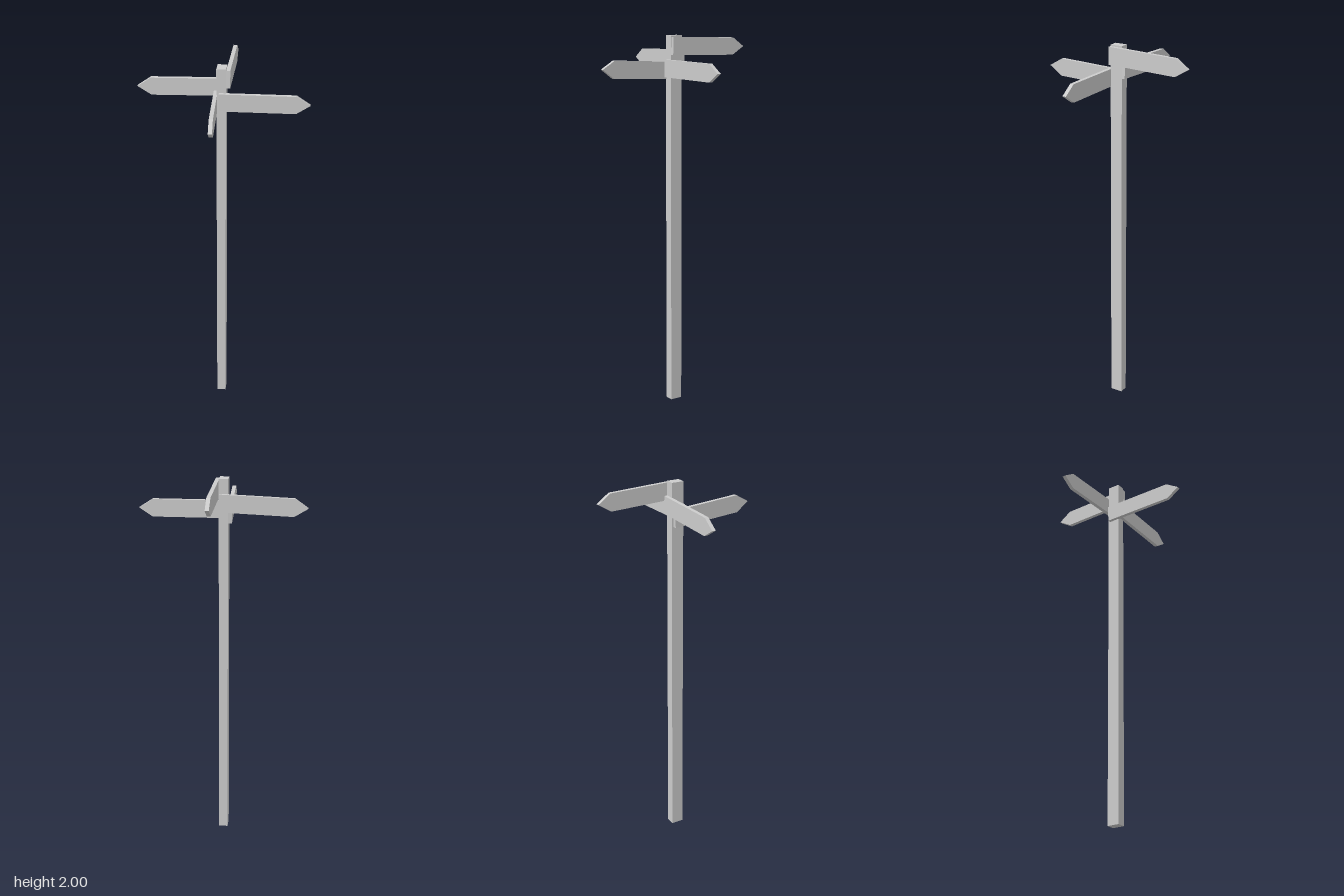
import * as THREE from 'three';

const material = new THREE.MeshStandardMaterial({ color: 0xcccccc, flatShading: true });

// Arrow board: starts at its square root end and points along its own +x
function arrowBoard(name, root, yaw, tilt) {
  const length = 0.455, shoulder = 0.385, half = 0.046, thickness = 0.02;
  const shape = new THREE.Shape([
    [0, -half], [shoulder, -half], [length, 0], [shoulder, half], [0, half],
  ].map(([x, y]) => new THREE.Vector2(x, y)));
  const geometry = new THREE.ExtrudeGeometry(shape, { depth: thickness, bevelEnabled: false });
  geometry.translate(0, 0, -thickness / 2);
  const board = new THREE.Mesh(geometry, material);
  board.name = name;
  board.position.set(...root);
  board.rotation.set(0, yaw, tilt, 'YXZ');
  return board;
}

export function createModel() {
  const group = new THREE.Group();
  group.name = 'signpost';

  // Square-cut post, slightly off centre
  const post = new THREE.Mesh(new THREE.BoxGeometry(0.048, 2, 0.067), material);
  post.name = 'post';
  post.position.set(-0.007, 1, -0.006);
  group.add(post);

  // One board on each face of the post, each a little crooked
  group.add(
    arrowBoard('frontBoard', [-0.018, 1.829, 0.0355], 0.022, 0),
    arrowBoard('backBoard', [0.016, 1.879, -0.047], Math.PI - 0.01, -0.031),
    arrowBoard('leftBoard', [0.028, 1.947, 0.027], Math.PI / 2, -0.032),
    arrowBoard('rightBoard', [-0.04, 1.815, -0.031], -Math.PI / 2 + 0.046, 0.051),
  );
  return group;
}
